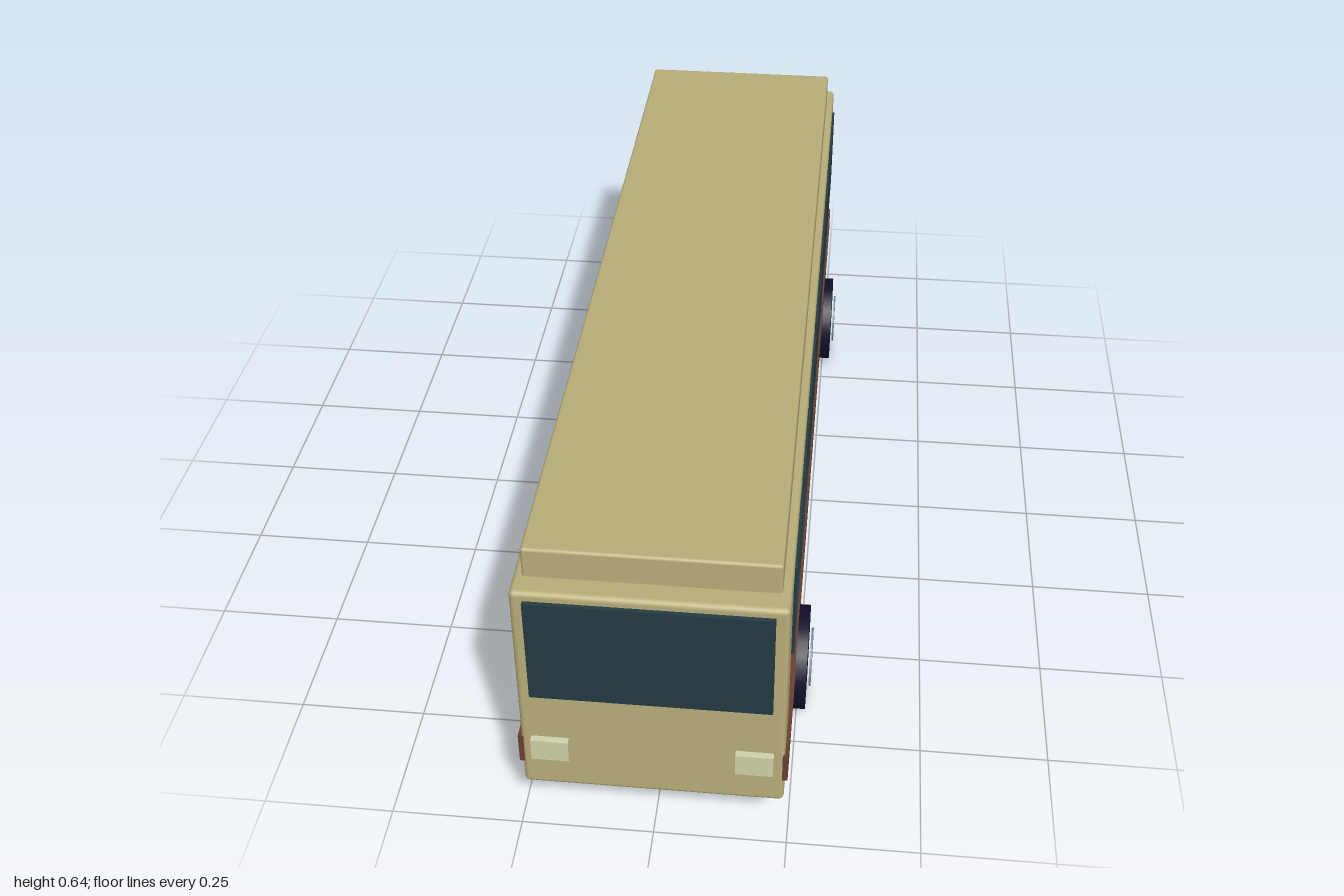
import * as THREE from 'three';
import { RoundedBoxGeometry } from 'three/addons/geometries/RoundedBoxGeometry.js';

// Opening through both side walls, in the z-y plane
const OPEN = { z0: 0.42, z1: 0.88, y0: 0.155, y1: 0.53 };

function makeMaterial(name, color) {
  const m = new THREE.MeshStandardMaterial({ color, side: THREE.DoubleSide });
  m.name = name;
  return m;
}

// Split a polygon by the line f = 0 into the parts with f <= 0 and f >= 0
function split(poly, f) {
  const below = [], above = [];
  poly.forEach((a, i) => {
    const b = poly[(i + 1) % poly.length], fa = f(a), fb = f(b);
    if (fa <= 0) below.push(a);
    if (fa >= 0) above.push(a);
    if (fa * fb < 0) {
      const p = a.clone().lerp(b, fa / (fa - fb));
      below.push(p);
      above.push(p);
    }
  });
  return [below, above];
}

// Remove the sideways-facing surfaces that lie inside the opening
function cutOpening(source) {
  const g = source.index ? source.toNonIndexed() : source;
  const P = g.attributes.position, N = g.attributes.normal;
  const pos = [], nor = [];
  const planes = [
    v => v.z - OPEN.z0, v => OPEN.z1 - v.z,
    v => v.y - OPEN.y0, v => OPEN.y1 - v.y,
  ];
  for (let i = 0; i < P.count; i += 3) {
    const tri = [0, 1, 2].map(k => new THREE.Vector3().fromBufferAttribute(P, i + k));
    const xs = tri.map(v => v.x);
    if (Math.max(...xs) - Math.min(...xs) > 1e-5) {
      tri.forEach((v, k) => {
        pos.push(v.x, v.y, v.z);
        nor.push(N.getX(i + k), N.getY(i + k), N.getZ(i + k));
      });
      continue;
    }
    const sign = Math.sign(N.getX(i));
    let rest = tri;
    for (const f of planes) {
      const [outside, inside] = split(rest, f);
      for (let k = 2; k < outside.length; k++) {
        for (const v of [outside[0], outside[k - 1], outside[k]]) {
          pos.push(v.x, v.y, v.z);
          nor.push(sign, 0, 0);
        }
      }
      rest = inside;
      if (rest.length < 3) break;
    }
  }
  const out = new THREE.BufferGeometry();
  out.setAttribute('position', new THREE.Float32BufferAttribute(pos, 3));
  out.setAttribute('normal', new THREE.Float32BufferAttribute(nor, 3));
  return out;
}

export function createModel() {
  const bus = new THREE.Group();
  bus.name = 'bus';

  const paint = makeMaterial('tan paint', 0xb9ae7a);
  const brown = makeMaterial('brown stripe', 0x6b4031);
  const glass = makeMaterial('dark glass', 0x253b43);
  const black = makeMaterial('navy black', 0x121029);
  const steel = makeMaterial('hub grey', 0x78909a);
  const lamp = makeMaterial('headlight cream', 0xd0d3aa);
  const red = makeMaterial('tail light red', 0xa02a12);

  function add(name, geometry, material) {
    const mesh = new THREE.Mesh(cutOpening(geometry), material);
    mesh.name = name;
    bus.add(mesh);
  }
  // Box given by its limits on each axis
  function box(name, material, [x0, x1], [y0, y1], [z0, z1], radius = 0) {
    const size = [x1 - x0, y1 - y0, z1 - z0];
    const g = radius ? new RoundedBoxGeometry(...size, 2, radius) : new THREE.BoxGeometry(...size);
    g.translate((x0 + x1) / 2, (y0 + y1) / 2, (z0 + z1) / 2);
    add(name, g, material);
  }

  // Body shell, raised roof and side stripe
  box('body', paint, [-0.241, 0.241], [0.1, 0.577], [-0.987, 0.987], 0.01);
  box('roof', paint, [-0.225, 0.225], [0.57, 0.638], [-0.943, 0.943], 0.006);
  box('stripe', brown, [-0.247, 0.247], [0.155, 0.22], [-0.985, 0.985]);

  // Windscreen and rear window
  box('windscreen', glass, [-0.217, 0.217], [0.335, 0.56], [0.975, 0.995]);
  box('rearWindow', glass, [-0.217, 0.217], [0.335, 0.56], [-0.995, -0.975]);

  for (const side of [-1, 1]) {
    const span = (a, b) => (side > 0 ? [a, b] : [-b, -a]);

    // Seven side windows
    for (let i = 0; i < 7; i++) {
      const z = 0.743 - i * 0.2585;
      box('sideWindow', glass, span(0.236, 0.246), [0.345, 0.548], [z - 0.108, z + 0.108]);
    }

    // Lights
    box('headlight', lamp, span(0.152, 0.221), [0.179, 0.227], [0.98, 1]);
    box('tailLight', red, span(0.15, 0.21), [0.18, 0.227], [-1, -0.98]);

    // Wheels with floating hub discs
    for (const z of [-0.617, 0.617]) {
      const tyre = new THREE.CylinderGeometry(0.104, 0.104, 0.051, 24);
      tyre.rotateZ(Math.PI / 2).translate(side * 0.2425, 0.104, z);
      add('tyre', tyre, black);
      const hub = new THREE.CylinderGeometry(0.058, 0.058, 0.004, 24);
      hub.rotateZ(Math.PI / 2).translate(side * 0.2745, 0.105, z);
      add('hub', hub, steel);
    }
  }

  // Two doors with glass on the right side
  for (const z of [0.77, -0.132]) {
    box('door', black, [-0.252, -0.24], [0.105, 0.525], [z - 0.105, z + 0.105]);
    box('doorGlass', glass, [-0.257, -0.251], [0.325, 0.51], [z - 0.08, z + 0.08]);
  }

  return bus;
}
